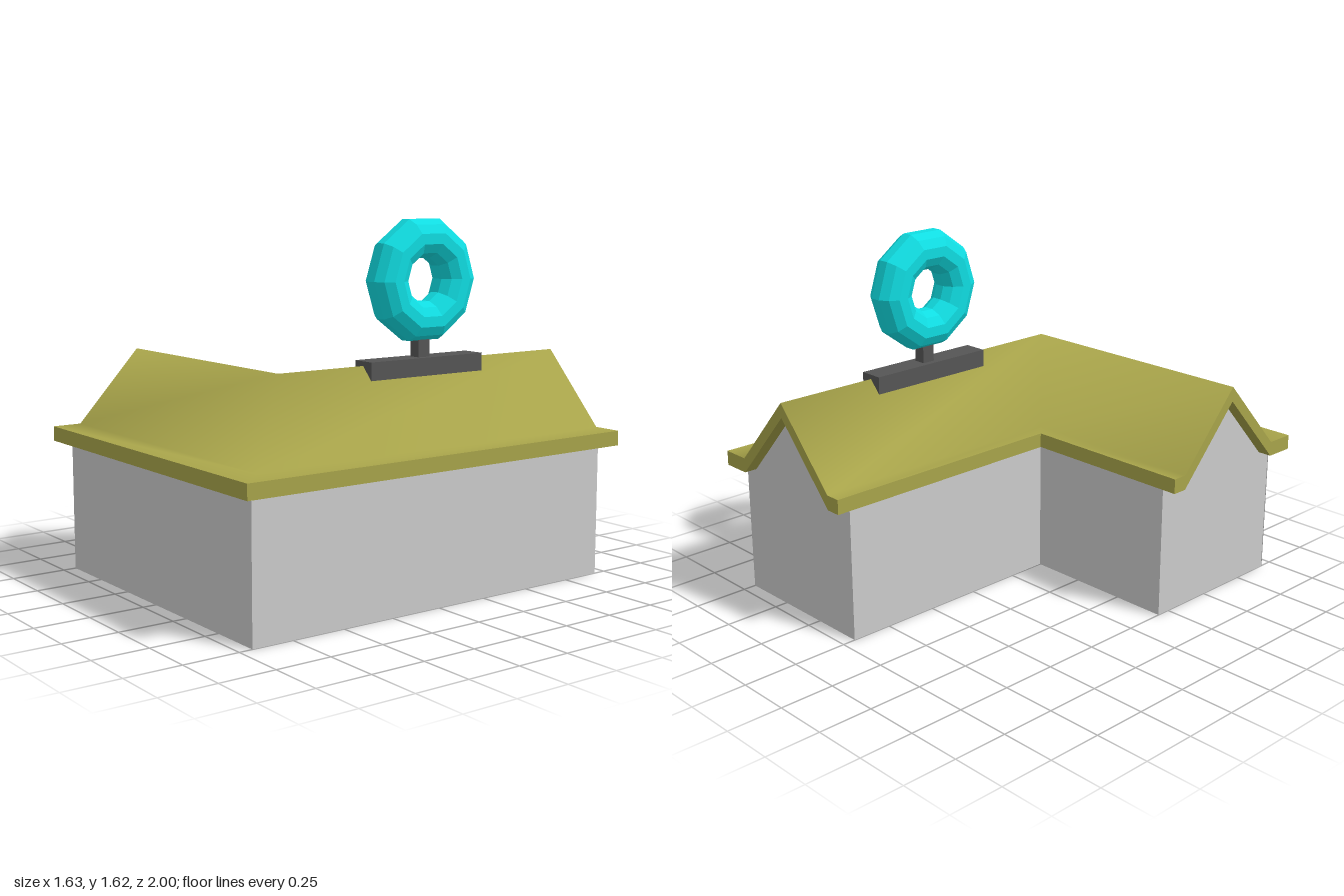
import * as THREE from 'three';

const RIDGE_X = 0.375, RIDGE_Z = 0.56; // ridge lines of the two wings
const EAVE = 0.6, THICK = 0.067;
// Roof section: [offset from the ridge, outward positive; underside height]
const SECTION = [[-0.375, 0.6], [-0.305, 0.6], [0, 0.933], [0.305, 0.6], [0.44, 0.6]];

const material = (color, extra = {}) => new THREE.MeshStandardMaterial({ color, ...extra });
const wallMat = material(0xcccccc, { side: THREE.DoubleSide });
const roofMat = material(0xa8a44a, { side: THREE.DoubleSide });
const darkMat = material(0x555555);
const ringMat = material(0x10dde2, { flatShading: true });

function add(parent, name, geometry, mat, x = 0, y = 0, z = 0) {
  const mesh = new THREE.Mesh(geometry, mat);
  mesh.name = name;
  mesh.position.set(x, y, z);
  parent.add(mesh);
  return mesh;
}

// Surface through rows of points, smooth or faceted
function sheet(rows, smooth = false) {
  const n = rows[0].length, index = [];
  for (let i = 0; i < rows.length - 1; i++) {
    for (let j = 0; j < n - 1; j++) {
      const a = i * n + j, b = a + 1, c = a + n, d = c + 1;
      index.push(a, b, c, b, d, c);
    }
  }
  let geo = new THREE.BufferGeometry();
  geo.setAttribute('position', new THREE.Float32BufferAttribute(rows.flat(2), 3));
  geo.setIndex(index);
  if (!smooth) geo = geo.toNonIndexed();
  geo.computeVertexNormals();
  return geo;
}

// Upright wall along a path of [x, z, top height]
function wall(path) {
  const top = path.map(([x, z, y = EAVE]) => [x, y, z]);
  const foot = path.map(([x, z]) => [x, 0, z]);
  return sheet([foot, top].reverse());
}

function buildRoof() {
  const roof = new THREE.Group();
  roof.name = 'roof';
  // Section at the side wing's end, the mitred corner and the main wing's end
  const stations = (lift) => [
    SECTION.map(([d, y]) => [-0.815, y + lift, RIDGE_Z + d]),
    SECTION.map(([d, y]) => [RIDGE_X + d, y + lift, RIDGE_Z + d]),
    SECTION.map(([d, y]) => [RIDGE_X + d, y + lift, -1]),
  ];
  const top = stations(THICK), under = stations(0), last = SECTION.length - 1;
  add(roof, 'roofTop', sheet(top, true), roofMat);
  add(roof, 'roofUnderside', sheet([...under].reverse(), true), roofMat);
  add(roof, 'outerFascia', sheet(top.map((r, i) => [r[last], under[i][last]])), roofMat);
  add(roof, 'innerFascia', sheet(top.map((r, i) => [under[i][0], r[0]])), roofMat);
  add(roof, 'sideGableEdge', sheet([under[0], top[0]]), roofMat);
  add(roof, 'backGableEdge', sheet([top[2], under[2]]), roofMat);
  return roof;
}

function buildWalls() {
  const walls = new THREE.Group();
  walls.name = 'walls';
  // Gable outline: section stopped at the wall faces
  const gable = SECTION.map(([d, y]) => [Math.min(d, 0.375), y]);
  const parts = {
    frontWall: [[-0.75, 0.94], [0.75, 0.94]],
    leftWall: [[0.75, 0.94], [0.75, -0.94]],
    backGable: gable.map(([d, y]) => [RIDGE_X + d, -0.94, y]).reverse(),
    innerWall: [[0, -0.94], [0, 0.94]],
    wingBackWall: [[0, 0.185], [-0.75, 0.185]],
    wingGable: gable.map(([d, y]) => [-0.75, RIDGE_Z + d, y]),
  };
  for (const [name, path] of Object.entries(parts)) {
    // Rows run top to foot, so the path is reversed to face outward
    add(walls, name, wall([...path].reverse()), wallMat);
  }
  return walls;
}

function buildRingSign() {
  const sign = new THREE.Group();
  sign.name = 'ringSign';
  sign.position.set(RIDGE_X, 0, -0.197);
  add(sign, 'ridgeMount', new THREE.BoxGeometry(0.112, 0.08, 0.63), darkMat, 0, 0.98, 0);
  add(sign, 'post', new THREE.BoxGeometry(0.056, 0.12, 0.062), darkMat, 0, 1.07, 0);
  // Ten-sided ring with a twelve-sided tube
  const tube = [];
  for (let i = 0; i <= 12; i++) {
    const a = ((i + 0.5) / 12) * Math.PI * 2;
    tube.push(new THREE.Vector2(0.188 + 0.092 * Math.cos(a), 0.092 * Math.sin(a)));
  }
  const ring = new THREE.LatheGeometry(tube, 10).rotateZ(Math.PI / 2);
  add(sign, 'ring', ring, ringMat, 0, 1.358, 0);
  return sign;
}

export function createModel() {
  const model = new THREE.Group();
  model.name = 'house';
  model.add(buildWalls(), buildRoof(), buildRingSign());
  return model;
}
